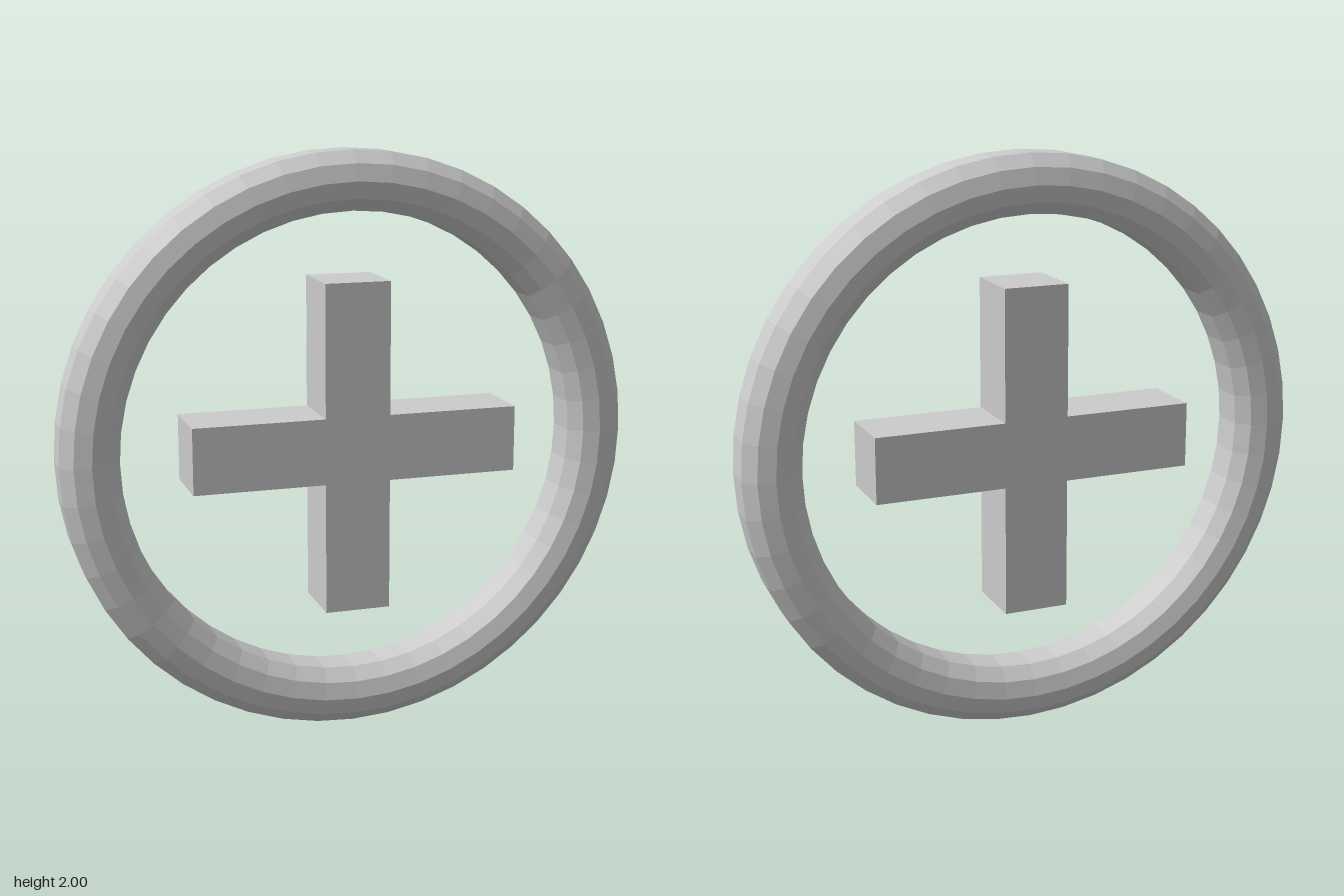
import * as THREE from 'three';

const SEGMENTS = 48;
const HALF = 0.114; // half thickness shared by ring and cross
const ARM = 0.57; // half length of the cross arms

export function createModel() {
  const group = new THREE.Group();
  const material = new THREE.MeshStandardMaterial({ color: 0xcccccc, flatShading: true });

  // Ring: round section with its inner and outer rims cut flat, revolved
  const section = [];
  for (const deg of [-30, 30, 60, 90, 120, 150, 210, 240, 270, 300, 330]) {
    const a = THREE.MathUtils.degToRad(deg);
    section.push(new THREE.Vector2(0.9 + Math.cos(a) * 0.1155, Math.sin(a) * HALF));
  }
  const ring = new THREE.Mesh(new THREE.LatheGeometry(section, SEGMENTS), material);
  ring.name = 'ring';
  ring.rotation.x = Math.PI / 2;
  ring.position.y = 1;
  group.add(ring);

  // Cross: one plus-shaped outline extruded to the ring's thickness
  const quarter = [[HALF, HALF], [HALF, ARM], [-HALF, ARM]];
  const outline = [];
  for (let i = 0; i < 4; i++) {
    for (const [x, y] of quarter) {
      outline.push(new THREE.Vector2(x, y).rotateAround(new THREE.Vector2(), i * Math.PI / 2));
    }
  }
  const crossGeometry = new THREE.ExtrudeGeometry(new THREE.Shape(outline), {
    depth: HALF * 2, bevelEnabled: false,
  });
  crossGeometry.translate(0, 0, -HALF);
  const cross = new THREE.Mesh(crossGeometry, material);
  cross.name = 'cross';
  cross.position.y = 1;
  group.add(cross);

  return group;
}
